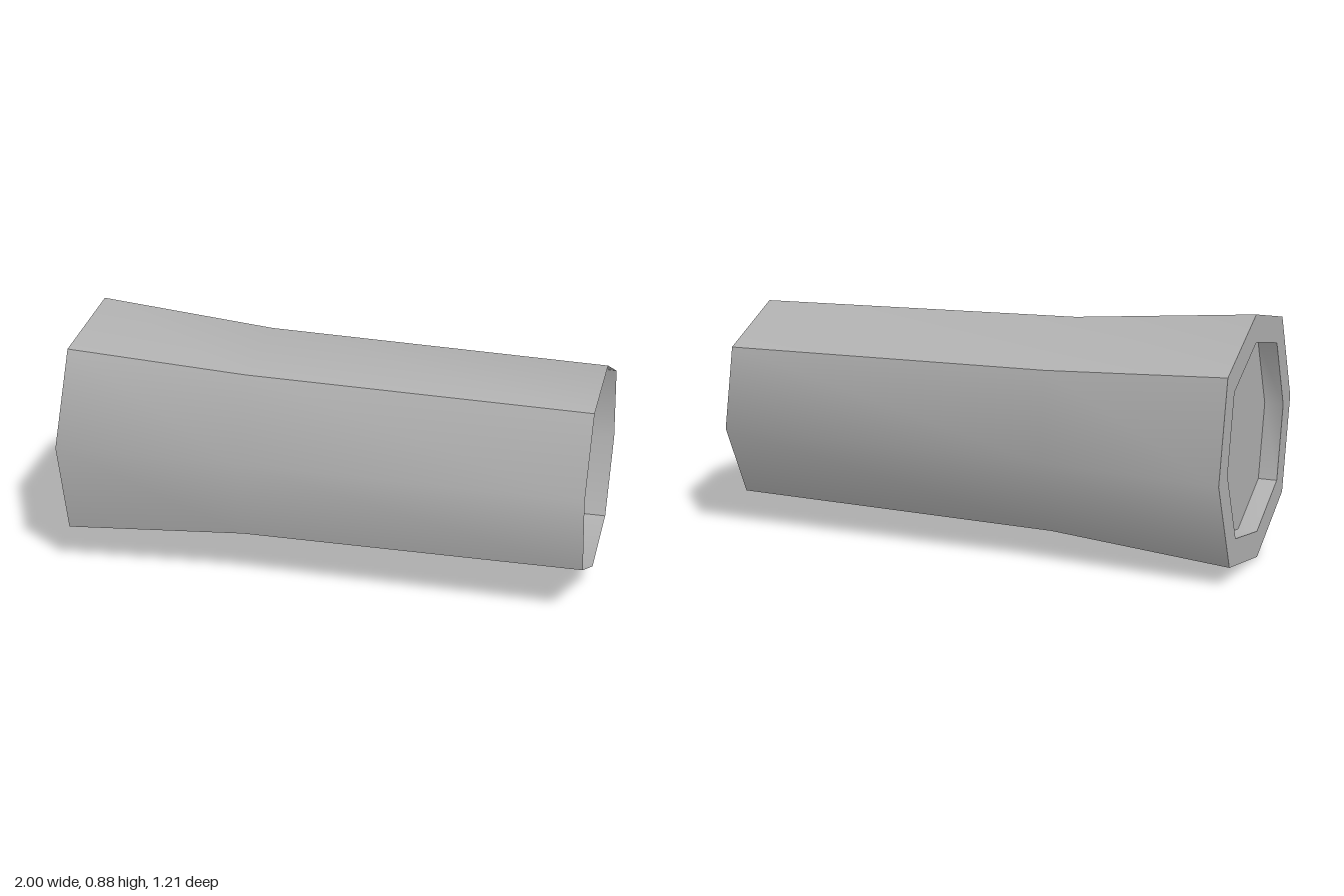
import * as THREE from 'three';
import { toCreasedNormals } from 'three/addons/utils/BufferGeometryUtils.js';

// Half of the octagonal cross-section as [z, y]; the other half is its point reflection
const HALF = [[-0.054, 0.44], [0.309, 0.3725], [0.466, 0.0555], [0.39, -0.2885]];
const SECTION = [...HALF, ...HALF.map(([z, y]) => [-z, -y])];

// Skin octagonal rings given as [position along the axis, scale]
function loft(stations) {
  const pos = [];
  const n = SECTION.length;
  const point = ([x, s], i) => [x, SECTION[i % n][1] * s, SECTION[i % n][0] * s];
  for (let k = 0; k < stations.length - 1; k++) {
    const [p, q] = [stations[k], stations[k + 1]];
    for (let i = 0; i < n; i++) {
      const a = point(p, i), b = point(p, i + 1), c = point(q, i + 1), d = point(q, i);
      if (p[1] > 0) pos.push(...a, ...b, ...c);
      pos.push(...a, ...c, ...d);
    }
  }
  const geometry = new THREE.BufferGeometry();
  geometry.setAttribute('position', new THREE.Float32BufferAttribute(pos, 3));
  return toCreasedNormals(geometry, Math.PI / 4);
}

export function createModel() {
  const grey = new THREE.MeshStandardMaterial({ color: 0xb0b0b0, side: THREE.DoubleSide });
  grey.name = 'plain grey';

  const length = 1.863, depth = 0.068, inner = 0.78;
  const parts = {
    tubeWall: [[0, 1], [0.648, 0.88], [length, 0.837]], // flared, open at the narrow end
    endRim: [[0, inner], [0, 1]],
    recessWall: [[depth, inner], [0, inner]],
    recessCap: [[depth, 0], [depth, inner]],
  };

  const tube = new THREE.Group();
  tube.name = 'tube';
  for (const [name, stations] of Object.entries(parts)) {
    const mesh = new THREE.Mesh(loft(stations), grey);
    mesh.name = name;
    tube.add(mesh);
  }
  // The axis runs from the wide end, turned slightly towards the back
  tube.position.set(-0.905, 0.4425, 0.153);
  tube.rotation.y = 0.2;

  const model = new THREE.Group();
  model.name = 'flaredTube';
  model.add(tube);
  return model;
}
